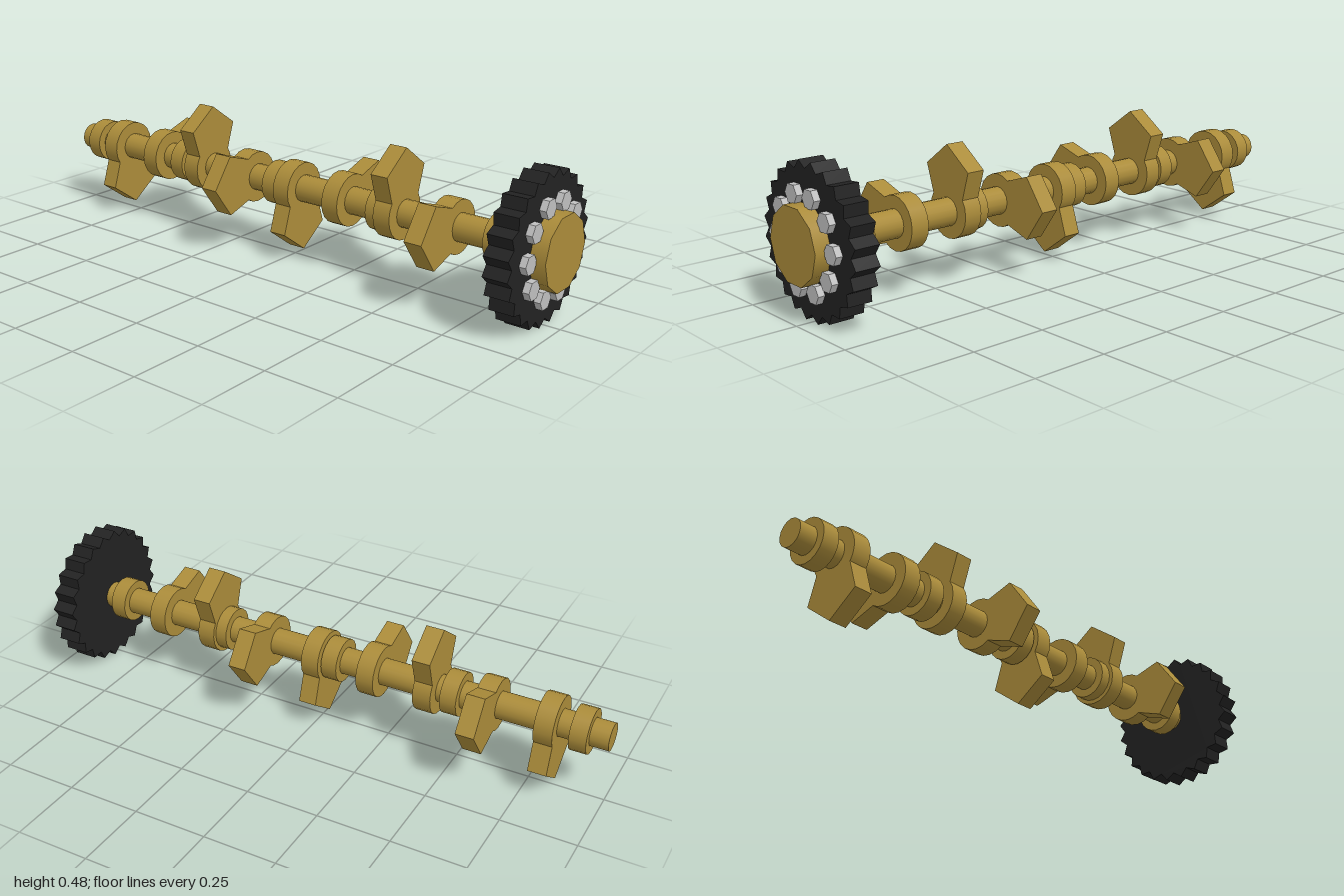
import * as THREE from 'three';

const AXIS_Y = 0.242;

const brass = new THREE.MeshStandardMaterial({ color: 0xab8c3a });
brass.name = 'brass';
const black = new THREE.MeshStandardMaterial({ color: 0x222222 });
black.name = 'blackSteel';
const silver = new THREE.MeshStandardMaterial({ color: 0xc0c0c0 });
silver.name = 'silver';

// Cylinder or prism lying along x, with its first corner towards +z
function rod(name, radius, x0, x1, sides, material, flat = false) {
  let geometry = new THREE.CylinderGeometry(radius, radius, x1 - x0, sides);
  geometry.rotateZ(-Math.PI / 2);
  if (flat) {
    geometry = geometry.toNonIndexed();
    geometry.computeVertexNormals();
  }
  const mesh = new THREE.Mesh(geometry, material);
  mesh.name = name;
  mesh.position.x = (x0 + x1) / 2;
  return mesh;
}

// Cam: round base with a five-sided nose pointing towards +z before turning
function cam(x, angle) {
  const group = new THREE.Group();
  group.name = 'cam';
  const nose = rod('camNose', 0.108, -0.031, 0.031, 5, brass, true);
  nose.position.z = 0.107;
  group.add(rod('camBase', 0.088, -0.031, 0.031, 20, brass), nose);
  group.position.x = x;
  group.rotation.x = angle;
  return group;
}

// Toothed wheel with pointed teeth
function gear(x0, x1, teeth) {
  const points = [];
  for (let i = 0; i < teeth * 2; i++) {
    const a = (i * Math.PI) / teeth;
    const r = i % 2 ? 0.242 : 0.218;
    points.push(new THREE.Vector2(r * Math.cos(a), r * Math.sin(a)));
  }
  const geometry = new THREE.ExtrudeGeometry(new THREE.Shape(points), { depth: x1 - x0, bevelEnabled: false });
  geometry.rotateY(Math.PI / 2);
  const mesh = new THREE.Mesh(geometry, black);
  mesh.name = 'gear';
  mesh.position.x = x0;
  return mesh;
}

export function createModel() {
  const model = new THREE.Group();
  model.name = 'camshaft';
  const assembly = new THREE.Group();
  assembly.name = 'shaftAssembly';
  assembly.position.y = AXIS_Y;
  model.add(assembly);

  assembly.add(rod('shaft', 0.046, -1, 0.88, 16, brass));

  // Bearing journals
  for (let i = 0; i < 5; i++) {
    const x = -0.911 + i * 0.4265;
    assembly.add(rod('journal', 0.074, x - 0.028, x + 0.028, 20, brass));
  }

  // Cams turn a quarter each: down, back, up, front
  for (let i = 0; i < 8; i++) {
    assembly.add(cam(-0.806 + i * 0.203, ((i + 1) * Math.PI) / 2));
  }

  // Gear, end hub and ring of bolts
  assembly.add(gear(0.866, 0.948, 24));
  assembly.add(rod('hub', 0.121, 0.94, 1, 10, brass));
  for (let i = 0; i < 10; i++) {
    const a = (i * Math.PI) / 5;
    const bolt = rod('bolt', 0.032, 0.94, 0.97, 6, silver, true);
    bolt.position.y = 0.147 * Math.sin(a);
    bolt.position.z = 0.147 * Math.cos(a);
    assembly.add(bolt);
  }
  return model;
}
